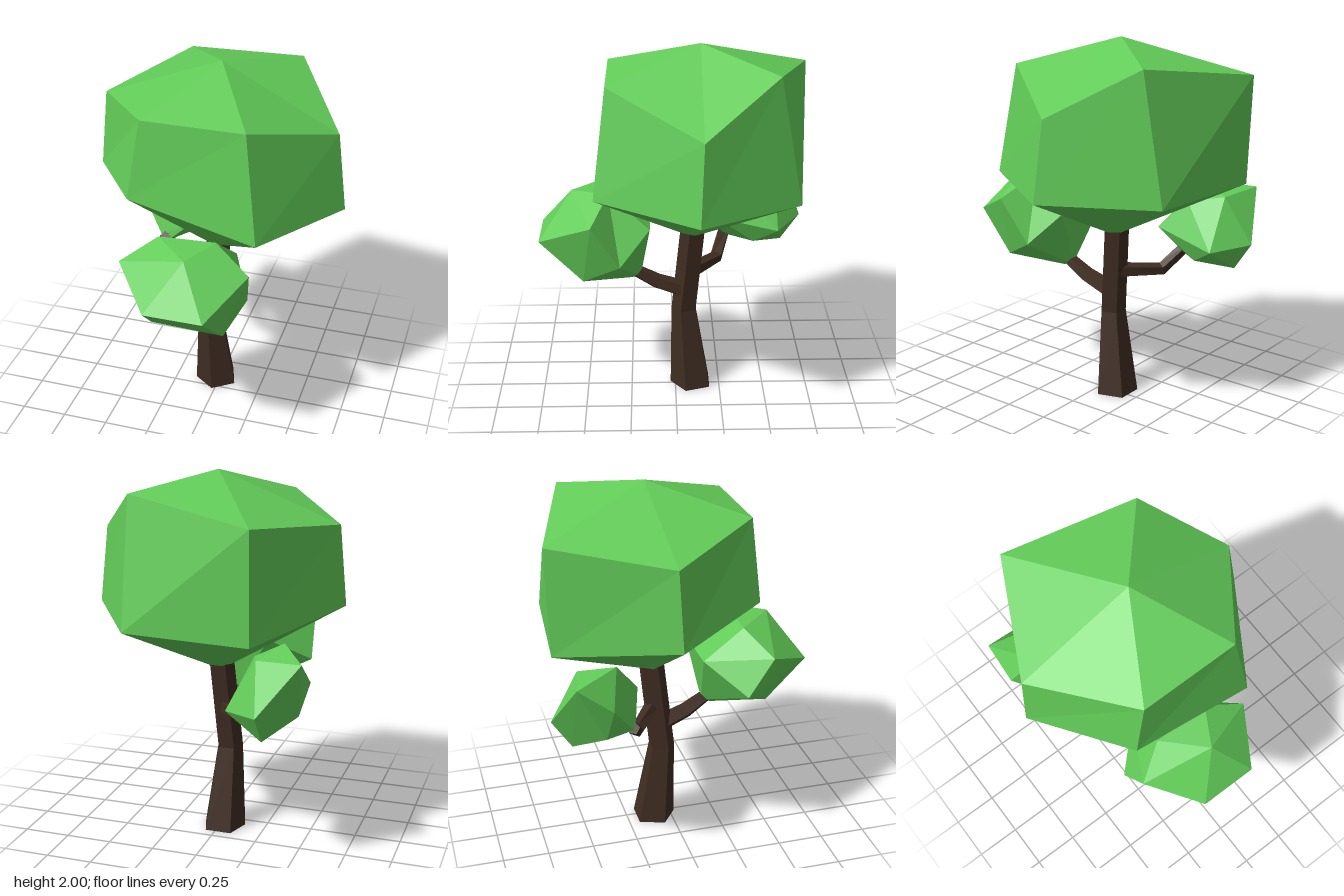
import * as THREE from 'three';
import { ConvexGeometry } from 'three/addons/geometries/ConvexGeometry.js';

const V = (p) => new THREE.Vector3(...p);

// Faceted skin over rings of points, closed by a point at each end
function loft(rings, start, end) {
  const pos = [];
  const tri = (...pts) => pts.forEach((p) => pos.push(...p));
  const n = rings[0].length, last = rings[rings.length - 1];
  for (let j = 0; j < n; j++) {
    const k = (j + 1) % n;
    tri(start, rings[0][j], rings[0][k]);
    for (let i = 0; i < rings.length - 1; i++) {
      const a = rings[i], b = rings[i + 1];
      tri(a[j], b[j], a[k]);
      tri(a[k], b[j], b[k]);
    }
    tri(end, last[k], last[j]);
  }
  const g = new THREE.BufferGeometry();
  g.setAttribute('position', new THREE.Float32BufferAttribute(pos, 3));
  g.computeVertexNormals();
  return g;
}

// Polygon ring around a centre, square to the direction t
function ring(center, r, t, sides, turn = 0) {
  const v = new THREE.Vector3(0, 0, 1);
  v.addScaledVector(t, -v.dot(t)).normalize();
  const u = t.clone().cross(v);
  return Array.from({ length: sides }, (_, i) => {
    const a = turn + (i / sides) * Math.PI * 2;
    return V(center).addScaledVector(u, Math.cos(a) * r).addScaledVector(v, Math.sin(a) * r).toArray();
  });
}

// Five-sided tapering limb through [x, y, z, radius] stations
function limb(stations, upright = false) {
  const pts = stations.map((s) => s.slice(0, 3));
  const rings = stations.map((s, i) => {
    const t = upright ? new THREE.Vector3(0, 1, 0)
      : V(pts[Math.min(i + 1, pts.length - 1)]).sub(V(pts[Math.max(i - 1, 0)])).normalize();
    return ring(pts[i], s[3], t, 5, Math.PI / 2);
  });
  return loft(rings, pts[0], pts[pts.length - 1]);
}

export function createModel() {
  const group = new THREE.Group();
  const bark = new THREE.MeshStandardMaterial({ color: 0x3f2d22 });
  bark.name = 'bark brown';
  const leaf = new THREE.MeshStandardMaterial({ color: 0x62cc58 });
  leaf.name = 'leaf green';
  const add = (name, geometry, material) => {
    const m = new THREE.Mesh(geometry, material);
    m.name = name;
    group.add(m);
  };

  // Trunk and its two branches
  add('trunk', limb([
    [-0.018, 0, -0.095, 0.122],
    [-0.04, 0.47, -0.053, 0.074],
    [-0.005, 0.97, -0.1, 0.072],
  ], true), bark);
  add('frontBranch', limb([
    [-0.02, 0.59, -0.05, 0.05],
    [-0.01, 0.645, 0.1, 0.044],
    [0, 0.715, 0.215, 0.036],
  ]), bark);
  add('backBranch', limb([
    [-0.03, 0.71, -0.1, 0.045],
    [-0.24, 0.69, -0.24, 0.037],
    [-0.41, 0.805, -0.3, 0.034],
  ]), bark);

  // Rings run right, front right, front left, left, back left, back right
  add('mainCanopy', loft([
    ring([0, 0.955, -0.1], 0.07, new THREE.Vector3(0, 1, 0), 6),
    [[0.68, 1.25, -0.11], [0.335, 1.265, 0.43], [-0.355, 1.41, 0.39],
      [-0.685, 1.33, -0.11], [-0.35, 1.235, -0.7], [0.337, 1.235, -0.642]],
    [[0.625, 1.67, -0.127], [0.26, 1.845, 0.36], [-0.285, 1.845, 0.36],
      [-0.65, 1.75, -0.127], [-0.352, 1.815, -0.72], [0.337, 1.915, -0.518]],
  ], [0, 0.955, -0.1], [-0.005, 2, -0.13]), leaf);

  add('frontFoliage', loft([
    [[0.04, 0.712, 0.21], [0.02, 0.687, 0.235], [-0.02, 0.687, 0.235],
      [-0.04, 0.712, 0.21], [-0.02, 0.737, 0.185], [0.02, 0.737, 0.185]],
    [[0.265, 0.855, 0.3], [0.19, 0.745, 0.5], [-0.2, 0.755, 0.5],
      [-0.4, 0.885, 0.33], [-0.2, 1.03, 0.14], [0.16, 1.03, 0.14]],
    [[0.31, 1.1, 0.45], [0.15, 0.96, 0.735], [-0.165, 0.96, 0.735],
      [-0.38, 1.085, 0.475], [-0.2, 1.2, 0.36], [0.11, 1.215, 0.36]],
  ], [0, 0.712, 0.21], [0, 1.2, 0.56]), leaf);

  // Smaller clump leaning to the back
  add('backFoliage', new ConvexGeometry([
    [-0.385, 0.89, -0.725], [-0.59, 1.155, -0.625], [-0.59, 1.01, -0.44],
    [-0.54, 0.835, -0.47], [-0.39, 0.735, -0.62], [-0.19, 0.865, -0.585],
    [-0.345, 1.14, -0.575], [-0.44, 1.185, -0.39], [-0.22, 0.94, -0.23],
    [-0.28, 1.1, -0.38], [-0.25, 0.78, -0.45], [-0.42, 0.8, -0.3], [-0.37, 0.78, -0.28],
  ].map(V)), leaf);

  return group;
}
